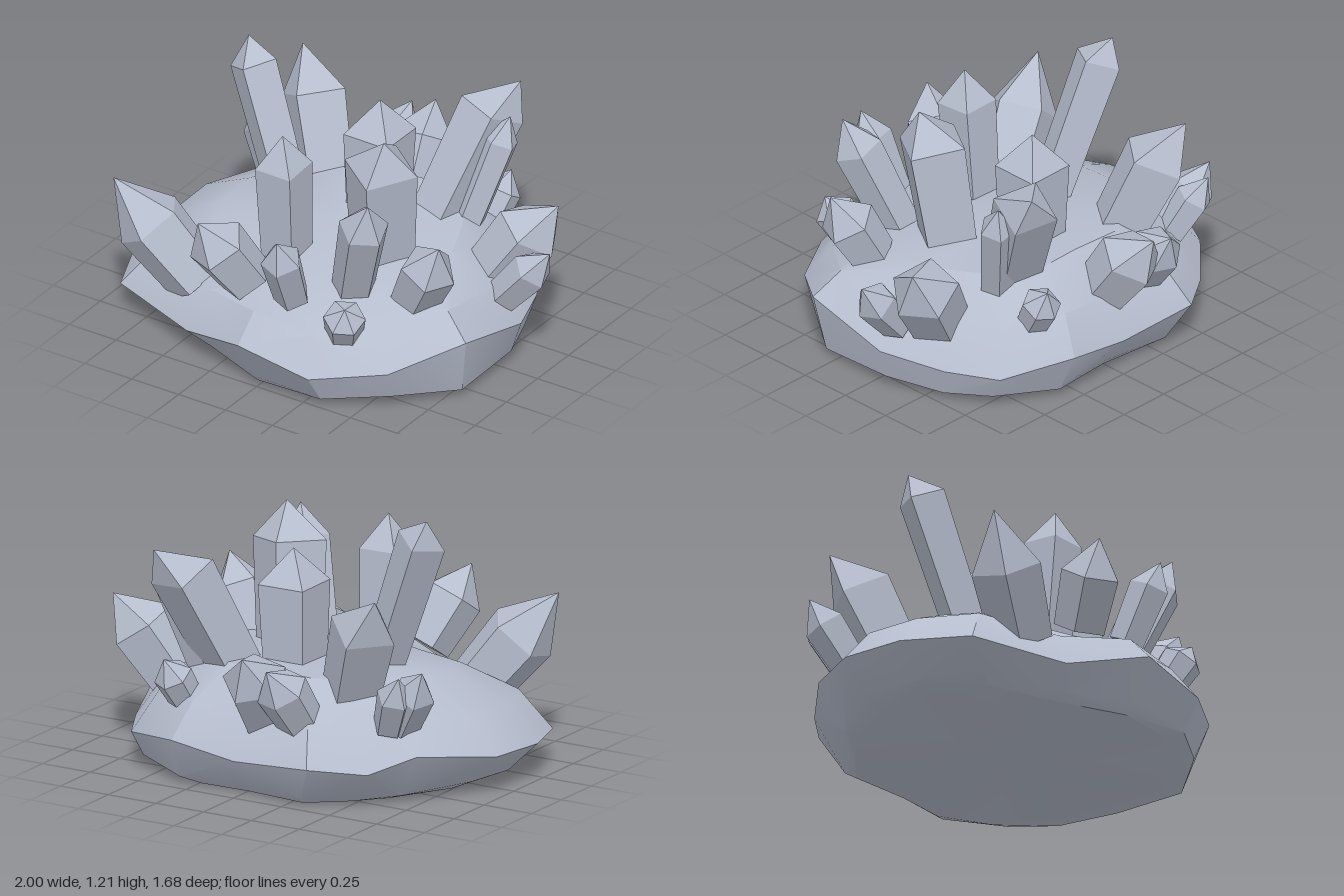
import * as THREE from 'three';
import { toCreasedNormals } from 'three/addons/utils/BufferGeometryUtils.js';

const stone = new THREE.MeshStandardMaterial({ color: 0xb6bdcd });
stone.name = 'pale blue-grey stone';

// widest edge of the rock: x, z, height
const rim = [
  [-1, 0.2, 0.17], [-0.99, -0.13, 0.19], [-0.78, -0.46, 0.24], [-0.62, -0.62, 0.17],
  [-0.4, -0.78, 0.2], [0, -0.75, 0.17], [0.32, -0.76, 0.22], [0.63, -0.6, 0.17],
  [0.75, -0.37, 0.17], [0.86, -0.08, 0.2], [0.85, 0.35, 0.3], [0.62, 0.63, 0.2],
  [0.32, 0.82, 0.17], [-0.04, 0.84, 0.24], [-0.42, 0.68, 0.12], [-0.88, 0.52, 0.14],
];

// rock from stacked, scaled copies of the rim, closed by a fan at each end
function makeRock() {
  const n = rim.length;
  const rings = [
    rim.map(([x, z]) => [x * 0.75, 0, z * 0.83]),
    rim.map(([x, z], i) => [x * 0.9 + 0.04, 0.03 + 0.02 * (i % 2), z * 0.89]),
    rim.map(([x, z, y]) => [x, y, z]),
    rim.map(([x, z, y]) => [x * 0.85, 0.26 + y * 0.5 - z * 0.02, z * 0.86]),
    rim.map(([x, z]) => [x * 0.6, 0.475 - z * 0.06, z * 0.6]),
  ];
  const pos = [0, 0, 0, ...rings.flat(2), -0.05, 0.51, 0];
  const top = rings.length * n + 1;
  const at = (r, i) => 1 + r * n + (i % n);
  const index = [];
  for (let i = 0; i < n; i++) {
    index.push(0, at(0, i), at(0, i + 1));
    for (let r = 0; r < rings.length - 1; r++) {
      const a = at(r, i), b = at(r, i + 1), c = at(r + 1, i), d = at(r + 1, i + 1);
      if ((i + r) % 2) index.push(a, d, b, a, c, d);
      else index.push(a, c, b, b, c, d);
    }
    index.push(at(rings.length - 1, i + 1), at(rings.length - 1, i), top);
  }
  const geo = new THREE.BufferGeometry();
  geo.setAttribute('position', new THREE.Float32BufferAttribute(pos, 3));
  geo.setIndex(index);
  return toCreasedNormals(geo, 0.5);
}

// faceted prism running from base to tip; nudge pushes the point off the axis
function makeCrystal({ base, tip, r, shoulder = 0.75, sides = 6, twist = 0, nudge = [0, 0, 0] }) {
  const from = new THREE.Vector3(...base);
  const offset = new THREE.Vector3(...nudge);
  const axis = new THREE.Vector3(...tip).sub(offset).sub(from);
  const h = axis.length();
  const turn = new THREE.Quaternion().setFromUnitVectors(new THREE.Vector3(0, 1, 0), axis.normalize());
  offset.applyQuaternion(turn.clone().invert());
  const profile = [[0, 0], [r * 0.88, 0], [r, h * shoulder], [0, h]]
    .map(([x, y]) => new THREE.Vector2(x, y));
  const geo = new THREE.LatheGeometry(profile, sides).toNonIndexed();
  geo.rotateY(twist);
  const p = geo.attributes.position;
  for (let i = 0; i < p.count; i++) {
    if (p.getY(i) > h * 0.999) p.setXYZ(i, offset.x, h + offset.y, offset.z);
  }
  geo.computeVertexNormals();
  const mesh = new THREE.Mesh(geo, stone);
  mesh.position.copy(from);
  mesh.quaternion.copy(turn);
  return mesh;
}

const crystals = {
  tallLeaningCrystal: { base: [-0.28, 0.42, 0.02], tip: [-0.6, 1.21, -0.09], r: 0.115, shoulder: 0.9, sides: 4, twist: 0.2, nudge: [-0.02, 0.03, -0.03] },
  centreCrystal: { base: [0.02, 0.45, -0.2], tip: [0.025, 1.02, -0.205], r: 0.165, shoulder: 0.72, sides: 4, twist: Math.PI / 4 },
  frontCentreCrystal: { base: [-0.13, 0.4, 0.31], tip: [-0.12, 1.06, 0.36], r: 0.13, shoulder: 0.76, sides: 4, twist: Math.PI / 4 },
  broadLeftCrystal: { base: [0.24, 0.42, 0.1], tip: [0.32, 1.09, 0.21], r: 0.175, shoulder: 0.76, sides: 4, twist: 0.2, nudge: [0.03, 0, 0.02] },
  backLeftCrystal: { base: [0.26, 0.42, -0.3], tip: [0.48, 1.05, -0.65], r: 0.15, shoulder: 0.84, sides: 4, twist: 0.5, nudge: [0.05, 0.02, -0.07] },
  backLeftCompanion: { base: [0.38, 0.38, -0.33], tip: [0.53, 0.96, -0.49], r: 0.085, shoulder: 0.8, sides: 5 },
  backLeftShard: { base: [0.37, 0.35, -0.55], tip: [0.41, 0.56, -0.68], r: 0.09, shoulder: 0.6 },
  backRightCrystal: { base: [-0.35, 0.4, -0.34], tip: [-0.61, 0.95, -0.54], r: 0.16, shoulder: 0.72, sides: 4, twist: 0.1, nudge: [-0.06, 0.02, -0.04] },
  rearCrystal: { base: [-0.06, 0.35, -0.57], tip: [-0.1, 0.68, -0.84], r: 0.15, shoulder: 0.62, sides: 5, twist: 0.5, nudge: [0, 0, -0.04] },
  rearCompanion: { base: [-0.26, 0.36, -0.6], tip: [-0.22, 0.64, -0.83], r: 0.12, shoulder: 0.62, twist: 0.2, nudge: [0, 0, -0.03] },
  leftCrystal: { base: [0.6, 0.29, -0.2], tip: [0.9, 0.7, -0.32], r: 0.16, shoulder: 0.66, sides: 5, twist: 0.2, nudge: [0.03, 0, -0.01] },
  leftShard: { base: [0.76, 0.31, -0.09], tip: [1, 0.59, -0.1], r: 0.095, shoulder: 0.62, sides: 5 },
  frontLeftCrystal: { base: [0.54, 0.41, 0.29], tip: [0.72, 0.75, 0.37], r: 0.13, shoulder: 0.58, sides: 5, twist: 0.5 },
  frontLeftTallCrystal: { base: [0.27, 0.41, 0.38], tip: [0.46, 0.97, 0.55], r: 0.115, shoulder: 0.74, sides: 5 },
  frontShard: { base: [0.36, 0.31, 0.59], tip: [0.43, 0.5, 0.69], r: 0.095, shoulder: 0.66 },
  frontCrystal: { base: [0.09, 0.42, 0.6], tip: [0.12, 0.78, 0.77], r: 0.095, shoulder: 0.68, sides: 5, twist: 0.3 },
  frontRightCrystal: { base: [-0.18, 0.41, 0.56], tip: [-0.3, 0.75, 0.77], r: 0.14, shoulder: 0.6, sides: 5, twist: 0.2 },
  outerRightCrystal: { base: [-0.49, 0.27, 0.48], tip: [-0.85, 0.74, 0.62], r: 0.165, shoulder: 0.56, sides: 5, twist: 0.3 },
  backRightShard: { base: [-0.64, 0.34, -0.38], tip: [-0.82, 0.64, -0.48], r: 0.1, shoulder: 0.62, sides: 5 },
  backRightSmallShard: { base: [-0.62, 0.35, -0.44], tip: [-0.74, 0.62, -0.55], r: 0.085, shoulder: 0.62, sides: 5, twist: 0.5 },
};

export function createModel() {
  const group = new THREE.Group();
  group.name = 'crystalCluster';
  const rock = new THREE.Mesh(makeRock(), stone);
  rock.name = 'rockBase';
  group.add(rock);
  for (const [name, spec] of Object.entries(crystals)) {
    const crystal = makeCrystal(spec);
    crystal.name = name;
    group.add(crystal);
  }
  return group;
}
